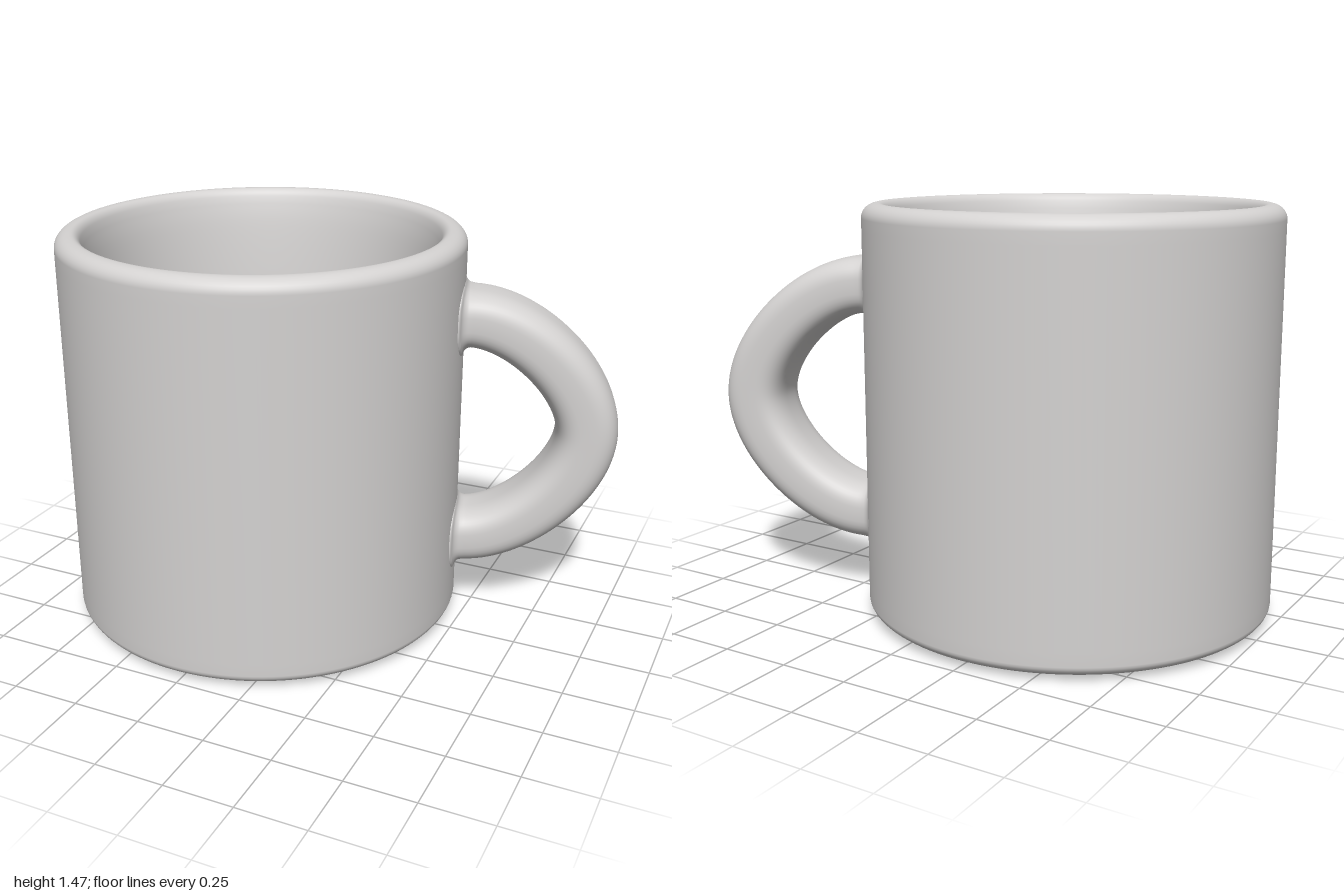
import * as THREE from 'three';

const R = 0.735;        // outer radius of the cup
const CUP_X = -0.265;   // cup axis
const MID_Y = 0.74;     // middle height of the handle

// Points of a quarter ellipse between two angles (degrees)
function arc(cx, cy, rx, ry, from, to, n = 8) {
  return Array.from({ length: n + 1 }, (_, i) => {
    const a = THREE.MathUtils.degToRad(from + (to - from) * i / n);
    return new THREE.Vector2(cx + rx * Math.cos(a), cy + ry * Math.sin(a));
  });
}

// Cup: underside, outer wall, rounded rim, inside that narrows and then drops straight, floor
function cupGeometry() {
  const inside = new THREE.SplineCurve([
    [0.638, 1.425], [0.622, 1.35], [0.605, 1.22], [0.588, 1.05], [0.57, 0.82], [0.56, 0.55], [0.556, 0.2],
  ].map(([x, y]) => new THREE.Vector2(x, y)));
  const profile = [
    new THREE.Vector2(0, 0),
    new THREE.Vector2(0.5, 0),
    new THREE.Vector2(0.6, 0.003),
    ...arc(0.66, 0.055, R - 0.66, 0.045, -90, 0),
    new THREE.Vector2(R, 0.1),
    new THREE.Vector2(R, 1.38),
    ...arc(R - 0.055, 1.42, 0.055, 0.05, 0, 90),
    ...arc(0.675, 1.42, 0.035, 0.05, 90, 160),
    ...inside.getPoints(24),
    ...arc(0.525, 0.165, 0.031, 0.035, 0, -90),
    new THREE.Vector2(0.45, 0.13),
    new THREE.Vector2(0, 0.13),
  ];
  return new THREE.LatheGeometry(profile, 128);
}

// Handle: rounded-square section swept along a D curve, with a fillet where it meets the wall
function handleGeometry() {
  const start = 0.75, reach = 0.447, half = 0.425, k = 0.45;
  const end = start + reach;
  const bow = new THREE.CubicBezierCurve(
    new THREE.Vector2(start, half), new THREE.Vector2(start + reach * k, half),
    new THREE.Vector2(end, half * k), new THREE.Vector2(end, 0));

  // upper half of the path as [x, y, tangent x, tangent y], then its mirror image
  const upper = [];
  for (let x = 0.66; x < start - 0.002; x += 0.004) upper.push([x, half, 1, 0]);
  for (let i = 0; i <= 36; i++) {
    const p = bow.getPoint(i / 36), t = bow.getTangent(i / 36);
    upper.push([p.x, p.y, t.x, t.y]);
  }
  const lower = upper.slice(0, -1).reverse().map(([x, y, tx, ty]) => [x, -y, -tx, ty]);
  const path = [...upper, ...lower];

  const sides = 48, fillet = 0.035, positions = [], index = [];
  const power = (v) => Math.sign(v) * Math.abs(v) ** 0.68;
  path.forEach(([px, py, tx, ty], i) => {
    const thick = 0.104 + 0.009 * Math.max(0, (px - start) / reach);
    for (let j = 0; j < sides; j++) {
      const a = j / sides * Math.PI * 2;
      const n = power(Math.cos(a)) * thick, b = power(Math.sin(a)) * 0.14;
      // widen the section along a quarter circle close to the cup wall
      const gap = Math.hypot(px - ty * n, b) - R;
      const s = 1 - THREE.MathUtils.clamp(gap / fillet, 0, 1);
      const flare = fillet * (1 - Math.sqrt(1 - s * s));
      const fn = n + Math.cos(a) * flare, fb = b + Math.sin(a) * flare;
      positions.push(px - ty * fn, py + tx * fn, fb);
      if (i < path.length - 1) {
        const m = (j + 1) % sides, p = i * sides, q = p + sides;
        index.push(p + j, p + m, q + j, p + m, q + m, q + j);
      }
    }
  });
  const geometry = new THREE.BufferGeometry();
  geometry.setAttribute('position', new THREE.Float32BufferAttribute(positions, 3));
  geometry.setIndex(index);
  geometry.computeVertexNormals();
  return geometry;
}

export function createModel() {
  const group = new THREE.Group();
  group.name = 'mug';
  const ceramic = new THREE.MeshStandardMaterial({ color: 0xd4d2d1 });
  ceramic.name = 'light grey ceramic';

  const cup = new THREE.Mesh(cupGeometry(), ceramic);
  cup.name = 'cup';
  cup.position.x = CUP_X;

  // The handle points to the side and slightly backwards
  const handle = new THREE.Mesh(handleGeometry(), ceramic);
  handle.name = 'handle';
  handle.position.set(CUP_X, MID_Y, 0);
  handle.rotation.y = THREE.MathUtils.degToRad(17.6);

  group.add(cup, handle);
  return group;
}
